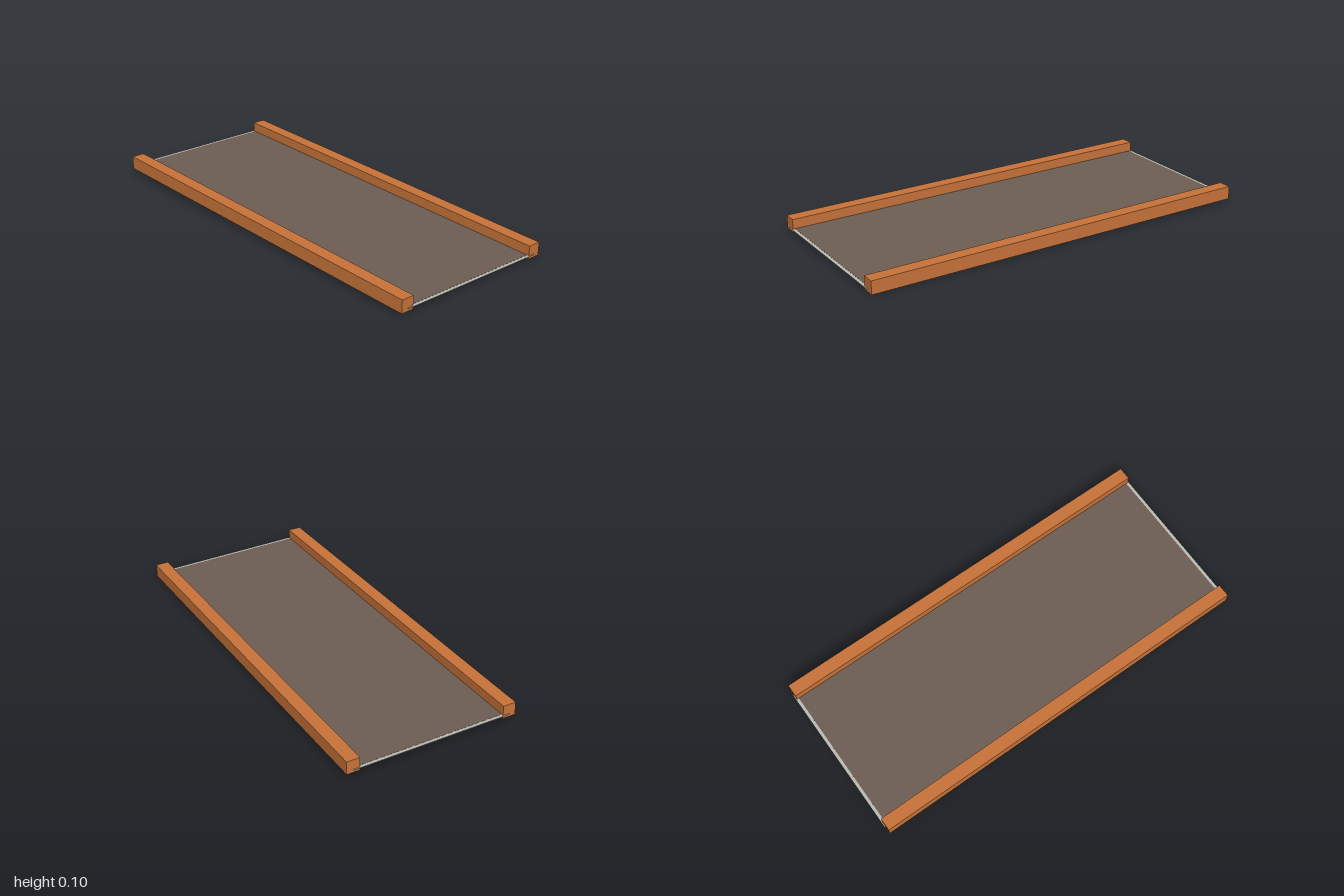
import * as THREE from 'three';

export function createModel() {
  const timber = new THREE.MeshStandardMaterial({ color: 0xc87339 });
  timber.name = 'orange timber';
  const board = new THREE.MeshStandardMaterial({ color: 0x6d5e53 });
  board.name = 'brown board';
  const sheet = new THREE.MeshStandardMaterial({ color: 0xbcbcb4 });
  sheet.name = 'pale sheet';

  const model = new THREE.Group();
  model.name = 'railedPlatform';

  const addBox = (name, material, width, height, depth, x, bottom) => {
    const mesh = new THREE.Mesh(new THREE.BoxGeometry(width, height, depth), material);
    mesh.name = name;
    mesh.position.set(x, bottom + height / 2, 0);
    model.add(mesh);
  };

  // Square rails along both long sides
  for (const side of [-1, 1]) {
    addBox(side > 0 ? 'leftRail' : 'rightRail', timber, 0.065, 0.065, 1.987, side * 0.396, 0);
  }

  // Deck board, its underside running below the rails
  addBox('deck', board, 0.8, 0.018, 1.967, 0, -0.0008);

  // Thin sheet under the deck surface, showing at both ends
  addBox('endSheet', sheet, 0.79, 0.003, 1.998, 0, 0.0135);

  // The whole platform rests at a slight tilt
  model.rotation.set(0.0093, 0, -0.0135);
  model.position.y = 0.0155;

  const root = new THREE.Group();
  root.name = 'platform';
  root.add(model);
  return root;
}
